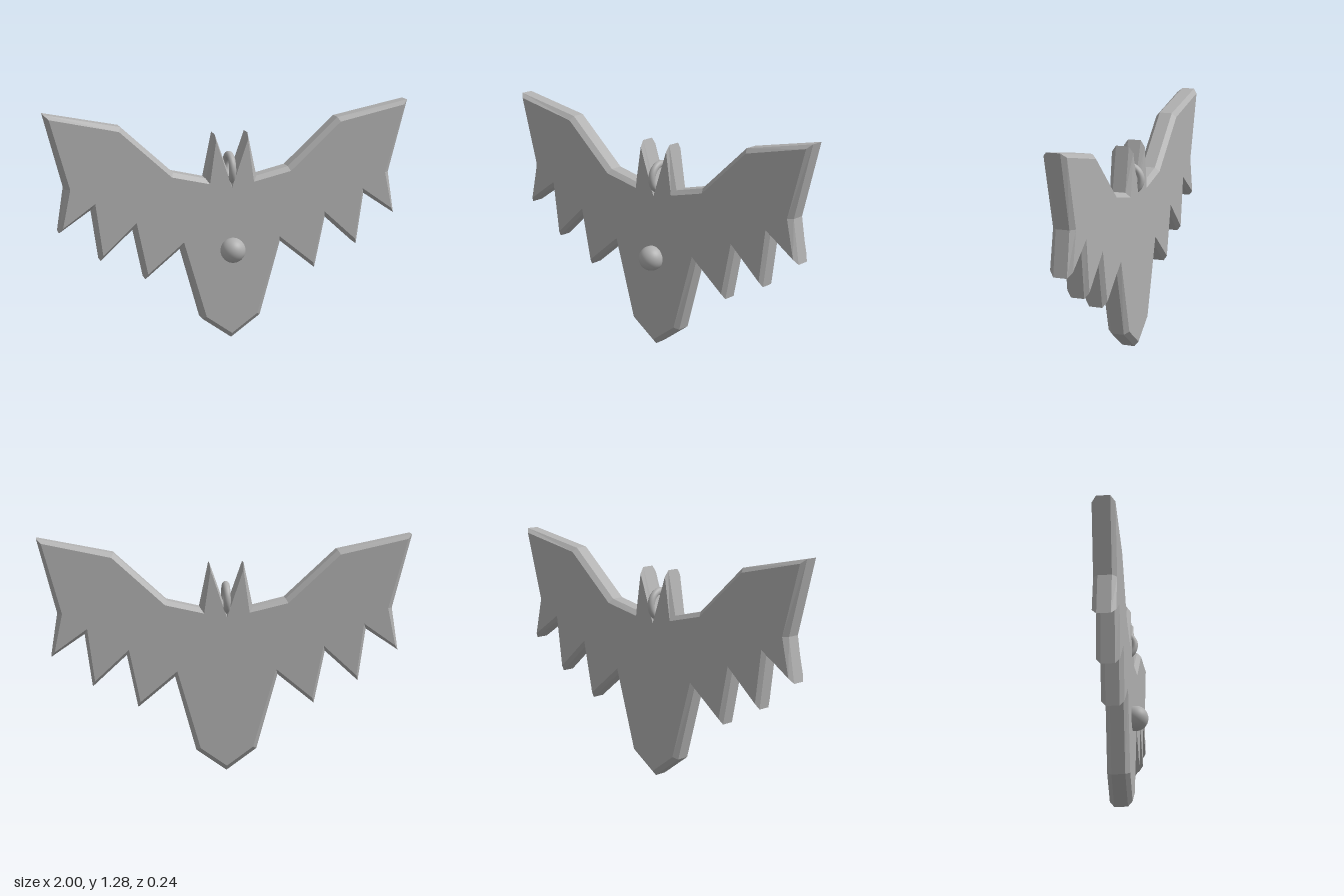
import * as THREE from 'three';

export function createModel() {
  const group = new THREE.Group();
  group.name = 'batPendant';
  const grey = new THREE.MeshStandardMaterial({ color: 0xb0b0b0 });
  grey.name = 'plain grey';

  const add = (name, geometry, x, y, z) => {
    const mesh = new THREE.Mesh(geometry, grey);
    mesh.name = name;
    mesh.position.set(x, y, z);
    group.add(mesh);
    return mesh;
  };

  // Half outline of the flat face, from the chin up the wing to the ear
  const half = [
    [0, 0.031], [0.143, 0.134],
    [0.267, 0.562], [0.465, 0.398],   // first notch and wing point
    [0.524, 0.685], [0.706, 0.517],   // second notch and wing point
    [0.743, 0.802], [0.916, 0.679],   // third notch and wing point
    [0.873, 0.884], [0.975, 1.257],   // outer edge and wing tip
    [0.61, 1.178], [0.33, 0.921],     // upper edge
    [0.122, 0.873], [0.088, 1.106],   // ear
    [0, 0.848],
  ];
  const mirrored = half.slice(1, -1).reverse().map(([x, y]) => [-x, y]);
  const outline = [...half, ...mirrored].map(([x, y]) => new THREE.Vector2(x, y));

  // Bat plate with chamfered edges
  const bevel = 0.024;
  const depth = 0.072;
  const plate = new THREE.ExtrudeGeometry(new THREE.Shape(outline), {
    depth, bevelEnabled: true, bevelThickness: bevel, bevelSize: bevel, bevelSegments: 1,
  });
  add('batPlate', plate, 0, 0, -0.026 - depth / 2);

  // Round stud on the front
  add('frontStud', new THREE.SphereGeometry(0.068, 32, 24), 0, 0.505, 0.052);

  // Hanging ring between the ears
  const ring = add('hangingRing', new THREE.TorusGeometry(0.072, 0.019, 16, 48), 0, 0.945, -0.026);
  ring.rotation.y = Math.PI / 2;

  return group;
}
